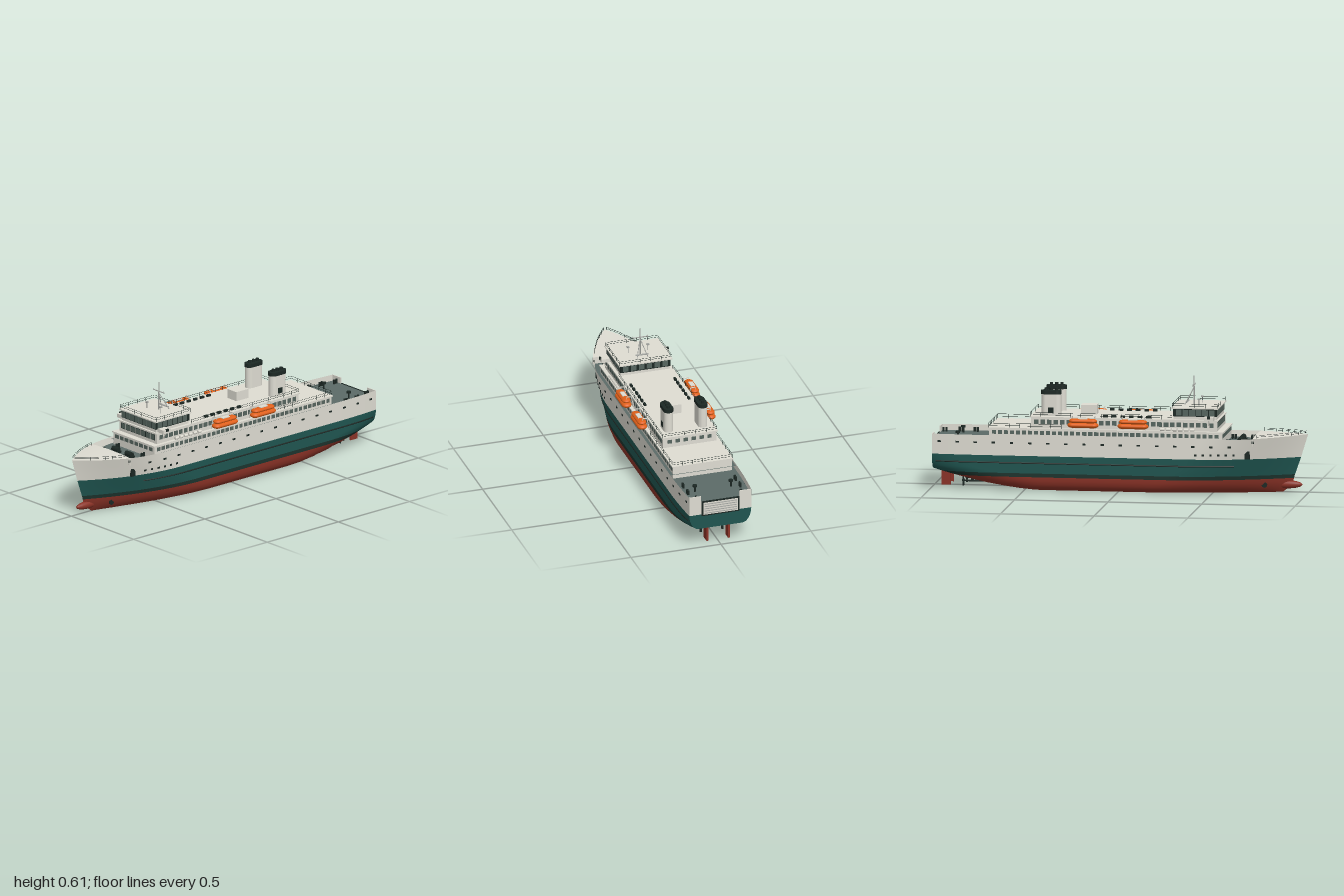
import * as THREE from 'three';
import { mergeGeometries } from 'three/addons/utils/BufferGeometryUtils.js';

const mat = (name, color, side = THREE.FrontSide) => {
  const m = new THREE.MeshStandardMaterial({ color, side });
  m.name = name;
  return m;
};
const V = (x, y, z) => new THREE.Vector3(x, y, z);
const lerp = THREE.MathUtils.lerp, clamp = THREE.MathUtils.clamp;

// Hull form: stem line, keel line, sheer line and half breadth
const stem = y => y < 0.08 ? 0.92 - 0.06 * ((0.08 - y) / 0.08) ** 2 : lerp(0.92, 0.995, Math.min(1, (y - 0.08) / 0.215));
const keel = z => z < -0.4 ? 0.105 * ((-0.4 - z) / 0.59) ** 1.6 : 0;
const sheer = z => 0.295 + 0.016 * clamp((z - 0.5) / 0.5, 0, 1) ** 1.5;
function half(z, y) {
  const k = clamp(y / 0.295, 0, 1), L = 0.72 - 0.22 * k, d = Math.max(0, stem(y) - z);
  const fore = d < L ? 1 - (1 - d / L) ** (1.7 + 0.5 * k) : 1;
  const aft = z < -0.7 ? 1 - 0.07 * ((-0.7 - z) / 0.29) ** 2 : 1;
  const r = 0.06 + 0.25 * keel(z), h = clamp((y - keel(z)) / r, 0, 1);
  return fore * aft * (0.185 - 0.055 * (1 - Math.sqrt(1 - (1 - h) ** 2)));
}

// Surface from a rule, sampled on a grid
function grid(nu, nv, fn, flip) {
  const pos = [], idx = [];
  for (let i = 0; i <= nu; i++) for (let j = 0; j <= nv; j++) pos.push(...fn(i / nu, j / nv, j));
  for (let i = 0; i < nu; i++) for (let j = 0; j < nv; j++) {
    const a = i * (nv + 1) + j, b = a + nv + 1;
    if (flip) idx.push(a, a + 1, b, b, a + 1, b + 1);
    else idx.push(a, b, a + 1, b, b + 1, a + 1);
  }
  const g = new THREE.BufferGeometry();
  g.setAttribute('position', new THREE.Float32BufferAttribute(pos, 3));
  g.setIndex(idx);
  g.computeVertexNormals();
  return g;
}
const box = (w, h, d, x, y, z) => new THREE.BoxGeometry(w, h, d).translate(x, y, z);
const cyl = (r, h, x, y, z, n = 12) => new THREE.CylinderGeometry(r, r, h, n).translate(x, y, z);
function rod(a, b, r, n = 5) {
  const d = b.clone().sub(a), q = new THREE.Quaternion().setFromUnitVectors(V(0, 1, 0), d.clone().normalize());
  const c = a.clone().add(b).multiplyScalar(0.5);
  return new THREE.CylinderGeometry(r, r, d.length(), n).applyQuaternion(q).translate(c.x, c.y, c.z);
}

export function createModel() {
  const model = new THREE.Group();
  model.name = 'ferry';
  const white = mat('white paint', 0xdedcd2, THREE.DoubleSide), teal = mat('teal hull', 0x1f5550, THREE.DoubleSide);
  const boot = mat('dark boot stripe', 0x1c332d, THREE.DoubleSide), red = mat('red antifouling', 0x8a3226, THREE.DoubleSide);
  const deck = mat('grey deck', 0x5c6b68, THREE.DoubleSide), orange = mat('lifeboat orange', 0xe0601a);
  const glass = mat('window glass', 0x56655f), dark = mat('dark fittings', 0x1c2824), steel = mat('grey steel', 0xa6a8a4);
  const add = (name, m, ...geos) => {
    const mesh = new THREE.Mesh(geos.length > 1 ? mergeGeometries(geos) : geos[0], m);
    mesh.name = name;
    model.add(mesh);
  };
  const both = fn => [1, -1].flatMap(s => fn(s));
  const range = (n, a, b) => Array.from({ length: n }, (_, i) => lerp(a, b, i / (n - 1)));

  // Hull sides in colour bands
  const band = (name, m, levels) => add(name, m, ...both(s => [grid(90, levels.length - 1, (u, v, j) => {
    const level = levels[j], z = lerp(-0.99, stem(level), 1 - (1 - u) ** 1.3);
    const base = Math.max(level, keel(z));
    const y = level > 0.188 ? 0.188 + (level - 0.188) * (sheer(z) - 0.188) / 0.107 : base;
    return [s * half(z, base), y, z];
  }, s > 0)]));
  band('lowerHull', red, [0, 0.003, 0.01, 0.02, 0.035, 0.055, 0.075]);
  band('bootStripe', boot, [0.075, 0.085, 0.095]);
  band('middleHull', teal, [0.095, 0.108, 0.115, 0.125, 0.15, 0.188]);
  band('upperHull', white, [0.188, 0.22, 0.255, 0.295]);

  // Bottom plating and transom
  const flat = (name, m, z0, z1, yf, wf, flip) => add(name, m, grid(40, 8, (u, v) => {
    const z = lerp(z0, z1, u);
    return [(v * 2 - 1) * wf(z), yf(z, v * 2 - 1), z];
  }, flip));
  const bottomHalf = z => half(z, keel(z));
  flat('bottom', red, -0.878, 0.86, keel, bottomHalf, true);
  flat('bottomStripe', boot, -0.954, -0.878, keel, bottomHalf, true);
  flat('sternBottom', teal, -0.99, -0.954, keel, bottomHalf, true);
  for (const [name, m, y0, y1] of [['transomLower', teal, 0.105, 0.188], ['transomUpper', white, 0.188, 0.264]])
    add(name, m, grid(2, 12, (u, v) => {
      const y = lerp(y0, y1, v);
      return [(u * 2 - 1) * half(-0.99, y), y, -0.99];
    }, true));
  add('transomBulwarks', white, ...both(s => [box(0.065, 0.033, 0.005, s * 0.139, 0.279, -0.988)]));
  add('bulb', red, new THREE.SphereGeometry(1, 20, 14).scale(0.021, 0.022, 0.085).translate(0, 0.04, 0.88));

  // Decks and raised bow cover
  flat('mainDeck', deck, -0.988, 0.73, () => 0.262, z => half(z, 0.262) - 0.001);
  flat('sideDeck', deck, -0.69, 0.56, () => 0.286, z => half(z, 0.286) - 0.001);
  flat('bowCover', white, 0.72, 0.995, (z, v) => sheer(z) + 0.006 * (1 - v * v) * (1 - z) / 0.28, z => half(z, 0.295));
  add('bowBulkhead', white, box(0.306, 0.04, 0.004, 0, 0.28, 0.722));

  // Rubbing strakes
  add('rubbingStrakes', dark, ...both(s => [new THREE.TubeGeometry(new THREE.CatmullRomCurve3(
    range(20, -0.97, 0.62).map(z => V(s * half(z, 0.15), 0.15, z))), 60, 0.004, 6)]));

  // Hull openings, anchors and thrusters
  add('hullPorts', dark, ...both(s => [
    ...range(17, 0.6, -0.95).map(z => box(0.005, 0.009, 0.018, s * half(z, 0.256), 0.256, z)),
    ...range(6, 0.62, 0.42).map(z => box(0.005, 0.01, 0.012, s * half(z, 0.212), 0.212, z))]));
  add('anchors', dark, ...both(s => [box(0.012, 0.042, 0.026, s * half(0.69, 0.21), 0.21, 0.69),
    box(0.006, 0.012, 0.012, s * half(0.72, 0.28), 0.28, 0.72)]));
  add('bowThrusters', dark, ...both(s => [new THREE.CylinderGeometry(0.015, 0.015, 0.008, 16)
    .rotateZ(Math.PI / 2).translate(s * half(0.77, 0.043), 0.043, 0.77)]));

  // Stern door with ribs
  add('sternDoorFrame', dark, box(0.21, 0.085, 0.006, 0, 0.222, -0.991));
  add('sternDoor', white, box(0.19, 0.07, 0.006, 0, 0.222, -0.993));
  add('sternDoorRibs', steel, ...range(5, 0.196, 0.248).map(y => box(0.18, 0.004, 0.005, 0, y, -0.996)));

  // Rudders, shafts and propellers
  add('rudders', red, ...both(s => [box(0.01, 0.085, 0.048, s * 0.06, 0.05, -0.93)]));
  add('propellers', dark, ...both(s => [
    rod(V(s * 0.06, 0.032, -0.62), V(s * 0.06, 0.032, -0.845), 0.005, 8),
    box(0.006, 0.045, 0.014, s * 0.06, 0.052, -0.79),
    ...range(4, 0, 1.5 * Math.PI).map(a => box(0.012, 0.026, 0.004, 0, 0.014, 0).rotateY(0.5).rotateZ(a).translate(s * 0.06, 0.032, -0.838))]));

  // Superstructure tiers with overhanging roofs
  const tier = (name, w, y0, y1, z0, z1, over) => {
    const zc = (z0 + z1) / 2, d = z1 - z0;
    add(name, white, box(2 * w, y1 - y0, d, 0, (y0 + y1) / 2, zc));
    add(name + 'Roof', white, box(2 * (w + over), 0.006, d + 2 * over, 0, y1, zc));
  };
  tier('lowerTier', 0.163, 0.262, 0.331, -0.685, 0.56, 0.006);
  tier('upperTier', 0.149, 0.331, 0.392, -0.465, 0.53, 0.006);
  tier('bridge', 0.137, 0.392, 0.455, 0.295, 0.525, 0.011);

  // Windows
  const sideWindows = (x, y, h, d, zs) => both(s => zs.map(z => box(0.004, h, d, s * x, y, z)));
  const endWindows = (z, y, h, w, xs) => xs.map(x => box(w, h, 0.004, x, y, z));
  add('lowerWindows', glass, ...sideWindows(0.163, 0.31, 0.02, 0.022, range(38, 0.53, -0.66)),
    ...endWindows(0.56, 0.31, 0.02, 0.028, range(8, -0.135, 0.135)));
  add('upperWindows', glass, ...sideWindows(0.149, 0.367, 0.024, 0.024, range(28, 0.5, -0.435)),
    ...endWindows(0.53, 0.367, 0.028, 0.031, range(7, -0.118, 0.118)), ...endWindows(-0.465, 0.367, 0.02, 0.024, range(6, -0.11, 0.11)));
  add('upperWindowFrames', dark, ...endWindows(0.529, 0.367, 0.032, 0.035, range(7, -0.118, 0.118)));
  add('bridgeWindowBand', dark, box(0.278, 0.04, 0.234, 0, 0.431, 0.41));
  add('bridgeWindows', glass, ...endWindows(0.527, 0.431, 0.034, 0.03, range(8, -0.119, 0.119)),
    ...sideWindows(0.139, 0.431, 0.032, 0.03, range(6, 0.5, 0.325)), ...endWindows(0.293, 0.431, 0.03, 0.03, range(6, -0.11, 0.11)));

  // Bridge wings
  add('bridgeWings', white, ...both(s => [box(0.05, 0.02, 0.05, s * 0.162, 0.405, 0.49),
    rod(V(s * 0.15, 0.355, 0.49), V(s * 0.18, 0.396, 0.49), 0.003)]));
  add('wingLamps', dark, ...both(s => [box(0.008, 0.014, 0.016, s * 0.188, 0.413, 0.49)]));

  // Mast and roof lamps
  add('mast', steel, cyl(0.003, 0.155, 0, 0.533, 0.385, 8), cyl(0.004, 0.1, 0, 0.505, 0.385, 8),
    box(0.088, 0.003, 0.006, 0, 0.559, 0.385), box(0.07, 0.004, 0.01, 0, 0.473, 0.35),
    ...both(s => [rod(V(s * 0.031, 0.457, 0.34), V(0, 0.55, 0.385), 0.0022),
      cyl(0.0015, 0.032, s * 0.055, 0.473, 0.42, 6), box(0.012, 0.008, 0.012, s * 0.055, 0.492, 0.42),
      cyl(0.002, 0.01, s * 0.04, 0.562, 0.385, 6)]));

  // Funnels with dark caps, exhausts and grilles
  const slab = (x, w, l, y0, y1) => {
    const sh = new THREE.Shape(), e = l / 2 - w;
    sh.absarc(0, e, w, 0, Math.PI, false);
    sh.absarc(0, -e, w, Math.PI, 2 * Math.PI, false);
    return new THREE.ExtrudeGeometry(sh, { depth: y1 - y0, bevelEnabled: false, curveSegments: 12 })
      .rotateX(-Math.PI / 2).translate(x, y0, -0.363);
  };
  add('funnels', white, ...both(s => [slab(s * 0.095, 0.025, 0.105, 0.392, 0.511)]));
  add('funnelCaps', dark, ...both(s => [slab(s * 0.095, 0.0265, 0.11, 0.51, 0.53)]));
  add('exhaustsAndGrilles', dark, ...both(s => [box(0.003, 0.03, 0.03, s * 0.1205, 0.425, -0.363),
    ...range(3, -0.335, -0.391).map(z => cyl(0.009, 0.014, s * 0.095, 0.536, z))]));

  // Roof hut and vents
  add('roofHut', white, box(0.07, 0.05, 0.085, 0, 0.42, -0.172));
  add('roofVents', dark, ...both(s => range(6, 0.16, -0.07).map(z => box(0.012, 0.012, 0.024, s * 0.122, 0.4, z))));

  // Lifeboats on davits
  const capsule = (r, l, flatten) => new THREE.CapsuleGeometry(r, l - 2 * r, 8, 18).rotateX(Math.PI / 2).scale(1, flatten, 1);
  for (const s of [1, -1]) for (const z of [0.087, -0.18]) {
    const boat = new THREE.Group();
    boat.name = 'lifeboat';
    boat.position.set(s * 0.19, 0.37, z);
    const part = (name, m, g) => {
      const p = new THREE.Mesh(g, m);
      p.name = name;
      boat.add(p);
    };
    part('boatHull', orange, capsule(0.027, 0.165, 0.55).translate(0, -0.01, 0));
    part('boatCanopy', orange, capsule(0.024, 0.15, 0.5).translate(0, 0.013, 0));
    part('boatHatch', white, box(0.024, 0.006, 0.05, 0, 0.025, 0));
    part('davits', white, mergeGeometries([-0.06, 0.06].flatMap(d => [
      rod(V(-s * 0.042, -0.04, d), V(-s * 0.025, 0.034, d), 0.003),
      rod(V(-s * 0.025, 0.034, d), V(0, 0.036, d), 0.003), rod(V(0, 0.036, d), V(0, 0, d), 0.0015)])));
    model.add(boat);
  }

  // Life raft canisters
  add('raftCanisters', white, ...both(s => range(6, 0.4, 0.24).map(z =>
    new THREE.CylinderGeometry(0.008, 0.008, 0.022, 10).rotateX(Math.PI / 2).translate(s * 0.16, 0.342, z))));

  // Mooring gear on the fore and aft decks
  add('winches', dark, ...both(s => [new THREE.CylinderGeometry(0.014, 0.014, 0.045, 14).rotateZ(Math.PI / 2).translate(s * 0.053, 0.28, 0.64),
    box(0.05, 0.01, 0.036, s * 0.053, 0.267, 0.64)]));
  add('bollards', dark, ...both(s => [[0.1, 0.585], [0.1, 0.69], [0.06, 0.695], [0.145, -0.8], [0.145, -0.88], [0.125, -0.965]]
    .flatMap(([x, z]) => [-0.008, 0.008].map(d => cyl(0.006, 0.024, s * x, 0.274, z + d, 10)))));
  add('deckVents', dark, ...both(s => [cyl(0.005, 0.03, s * 0.1, 0.277, -0.862), cyl(0.012, 0.01, s * 0.1, 0.296, -0.862)]));

  // Railings along a path of points
  const rail = (name, pts, h) => {
    const geos = [], up = k => p => p.clone().add(V(0, h * k, 0));
    for (let i = 0; i + 1 < pts.length; i++) {
      const a = pts[i], b = pts[i + 1], n = Math.max(1, Math.round(a.distanceTo(b) / 0.055));
      for (const k of [0.5, 1]) geos.push(rod(up(k)(a), up(k)(b), 0.0009, 4));
      for (let j = 0; j <= n; j++) {
        const p = a.clone().lerp(b, j / n);
        geos.push(rod(p, up(1)(p), 0.0009, 4));
      }
    }
    add(name, dark, ...geos);
  };
  const loop = (w, y, z0, z1) => [V(-w, y, z1), V(-w, y, z0), V(w, y, z0), V(w, y, z1)];
  rail('bridgeRoofRail', [...loop(0.144, 0.457, 0.29, 0.53), V(-0.144, 0.457, 0.53)], 0.022);
  rail('upperRoofRail', loop(0.151, 0.394, -0.468, 0.29), 0.022);
  rail('lowerRoofRail', loop(0.165, 0.333, -0.688, -0.3), 0.024);
  for (const s of [1, -1])
    rail('bowRail', range(8, 0.74, 0.985).map(z => V(s * half(z, 0.295) * 0.94, sheer(z), z)), 0.017);
  return model;
}
